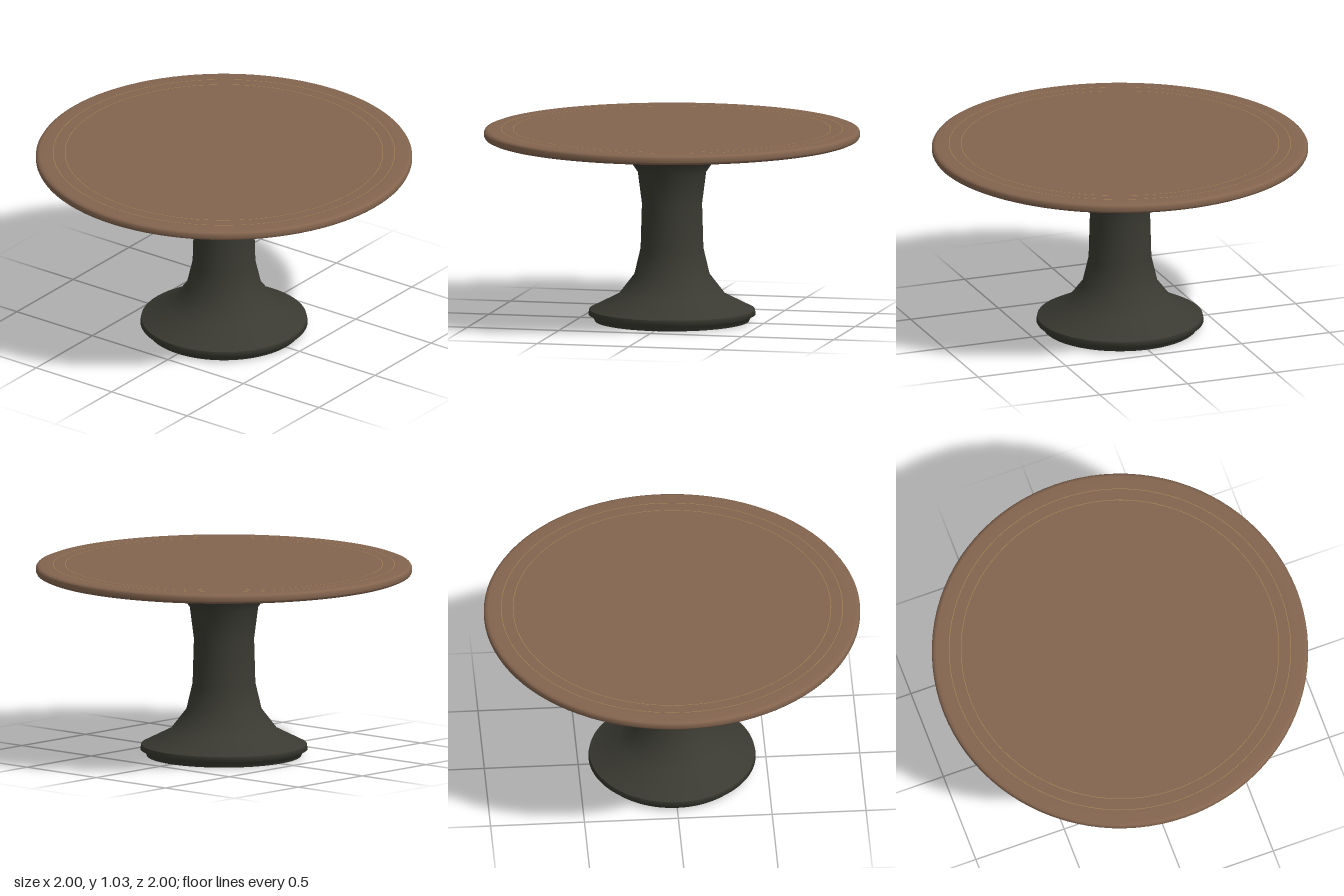
import * as THREE from 'three';

const SEGMENTS = 96;

const material = (name, color) => {
  const m = new THREE.MeshStandardMaterial({ color });
  m.name = name;
  return m;
};

// Revolves a [radius, height] profile; run it outward and up so faces point out.
function turned(name, profile, mat) {
  const points = profile.map(([r, y]) => new THREE.Vector2(r, y));
  const mesh = new THREE.Mesh(new THREE.LatheGeometry(points, SEGMENTS), mat);
  mesh.name = name;
  return mesh;
}

export function createModel() {
  const wood = material('brown wood', 0x84654f);
  const iron = material('dark iron', 0x3a3a32);
  const brass = material('aged brass', 0xa3854f);

  const table = new THREE.Group();
  table.name = 'pedestalTable';

  // Flared pedestal with a flat foot
  const pedestal = new THREE.Group();
  pedestal.name = 'pedestal';
  pedestal.add(
    turned('footUnderside', [[0, 0], [0.41, 0]], iron),
    turned('footEdge', [[0.41, 0], [0.42, 0.022], [0.445, 0.036], [0.44, 0.062]], iron),
    turned('column', [
      [0.44, 0.062], [0.285, 0.14], [0.2, 0.25], [0.167, 0.39], [0.16, 0.63],
      [0.182, 0.8], [0.245, 0.89], [0.385, 0.952],
    ], iron),
  );

  // Brass collar between column and top
  const collar = turned('collar', [
    [0.36, 0.95], [0.385, 0.952], [0.42, 0.96], [0.428, 0.972], [0.428, 1.01],
  ], brass);

  // Round top: a thin panel held in a deeper, soft-edged rim
  const top = new THREE.Group();
  top.name = 'tableTop';
  top.add(
    turned('panelUnderside', [[0, 1.008], [0.91, 1.008]], wood),
    turned('panelSurface', [[0.91, 1.028], [0, 1.028]], wood),
    turned('rimInnerWall', [[0.907, 1.008], [0.907, 0.976]], wood),
    turned('rim', [
      [0.907, 0.976], [0.98, 0.976], [0.995, 0.983], [1, 0.993],
      [1, 1.012], [0.994, 1.022], [0.978, 1.028], [0.91, 1.028],
    ], wood),
  );

  // Hairline brass inlays
  for (const r of [0.845, 0.908]) {
    top.add(turned('inlayLine', [[r + 0.0015, 1.0285], [r - 0.0015, 1.0285]], brass));
  }

  table.add(pedestal, collar, top);
  return table;
}
